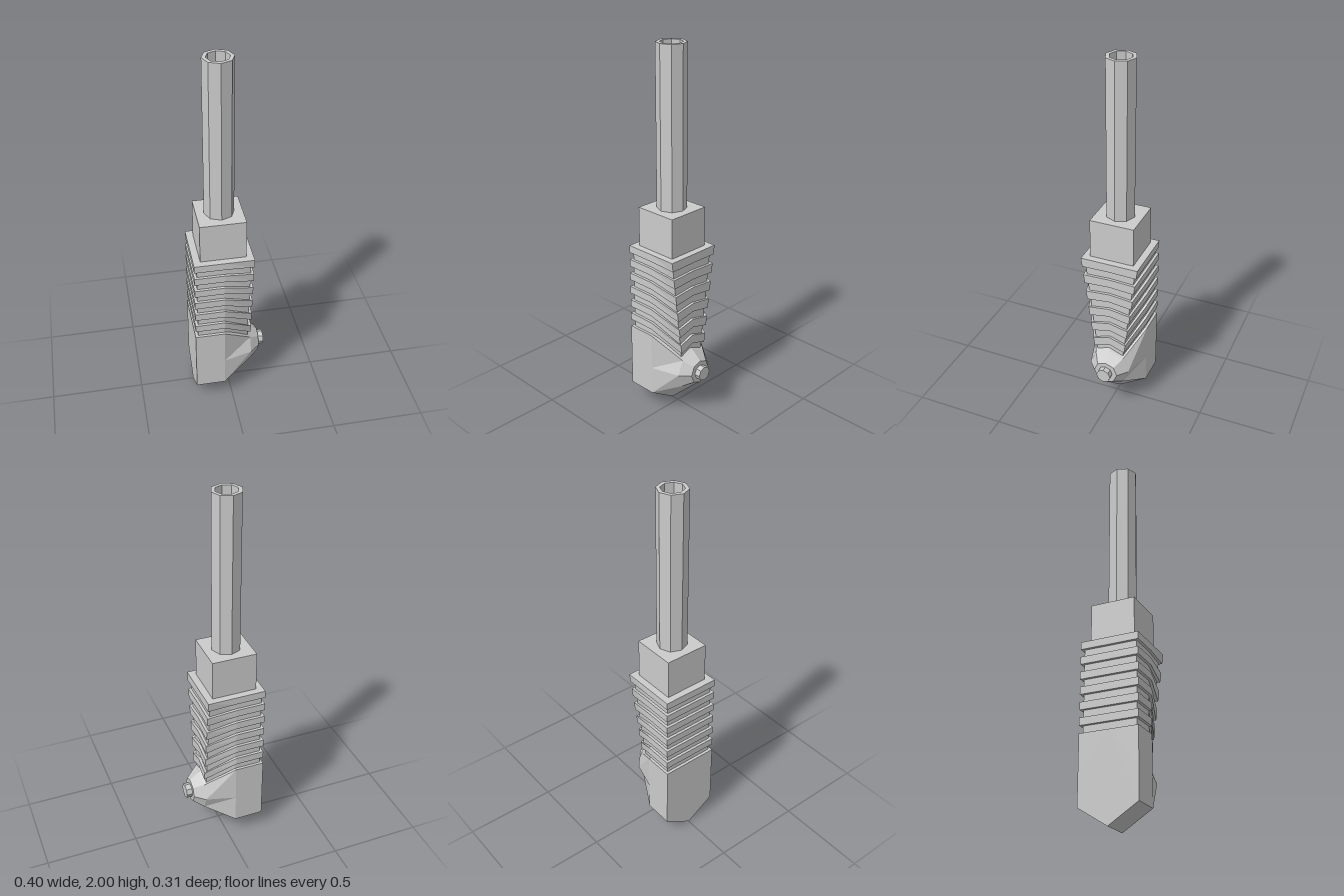
import * as THREE from 'three';

const material = new THREE.MeshStandardMaterial({ color: 0xcccccc, flatShading: true });
const CX = -0.042; // axis of the shaft and block
const HALF = 0.157; // half width of the body
const NOSE_Y = 0.26; // height of the nozzle axis

// Skin a list of equal-length rings, each counter-clockwise seen from the first ring's end; both ends capped.
function loft(rings) {
  const pos = [];
  const tri = (a, b, c) => pos.push(...a, ...b, ...c);
  const n = rings[0].length;
  for (let r = 0; r < rings.length - 1; r++) {
    const a = rings[r], b = rings[r + 1];
    for (let i = 0; i < n; i++) {
      const j = (i + 1) % n;
      tri(a[i], b[i], b[j]);
      tri(a[i], b[j], a[j]);
    }
  }
  const first = rings[0], last = rings[rings.length - 1];
  for (let i = 1; i < n - 1; i++) {
    tri(first[0], first[i], first[i + 1]);
    tri(last[0], last[i + 1], last[i]);
  }
  const g = new THREE.BufferGeometry();
  g.setAttribute('position', new THREE.Float32BufferAttribute(pos, 3));
  g.computeVertexNormals();
  return g;
}

// Horizontal ring of the finned body; t = 0 at the top, 1 at the head, bending towards the nozzle.
function finRing(t, scale) {
  const mix = (a, b) => a + (b - a) * t;
  const yBack = mix(0.94, 0.46), yCorner = mix(0.94, 0.335), yMid = mix(0.94, 0.37);
  const w = mix(HALF, 0.08);
  return [
    [-HALF, yBack, HALF], [0, yBack, HALF], [HALF, yCorner, w], [HALF, yMid, 0],
    [HALF, yCorner, -w], [0, yBack, -HALF], [-HALF, yBack, -HALF],
  ].map(([x, y, z]) => [CX + x * scale, y, z * scale]);
}

// Head section in the plane x: square top with a pointed keel
function keelRing(x) {
  return [
    [0, 0.46], [HALF, 0.46], [HALF, NOSE_Y], [HALF, 0.1],
    [0, 0], [-HALF, 0.1], [-HALF, NOSE_Y], [-HALF, 0.46],
  ].map(([z, y]) => [x, y, z]);
}

// Head section in the plane x: regular octagon around the nozzle axis
function octagonRing(x, r) {
  return Array.from({ length: 8 }, (_, i) => {
    const a = (i * Math.PI) / 4;
    return [x, NOSE_Y + r * Math.cos(a), r * Math.sin(a)];
  });
}

export function createModel() {
  const group = new THREE.Group();
  const add = (name, geometry, x = 0, y = 0) => {
    const mesh = new THREE.Mesh(geometry, material);
    mesh.name = name;
    mesh.position.set(x, y, 0);
    group.add(mesh);
  };

  // Hollow octagonal shaft
  const profile = [[0.078, 1.15], [0.078, 2], [0.058, 2], [0.058, 1.16], [0, 1.16]];
  add('shaft', new THREE.LatheGeometry(profile.map(([r, y]) => new THREE.Vector2(r, y)), 8), CX);

  // Square collar below the shaft
  add('collar', new THREE.BoxGeometry(0.24, 0.215, 0.24), CX, 1.0475);

  // Fins and grooves alternate down the bending body
  const rings = [];
  const steps = 12;
  for (let k = 0; k < steps; k++) {
    const scale = k % 2 === 0 ? 1 : 0.905;
    rings.push(finRing(k / steps, scale), finRing((k + 1) / steps, scale));
  }
  add('finnedBody', loft(rings));

  // Head: keeled block narrowing to the octagonal nose
  add('head', loft([
    octagonRing(0.168, 0.066), octagonRing(0.115, 0.112), keelRing(CX), keelRing(CX - HALF - 0.001),
  ]));

  // Nozzle tip
  add('nozzle', loft([octagonRing(0.2, 0.04), octagonRing(0.16, 0.04)]));

  return group;
}
